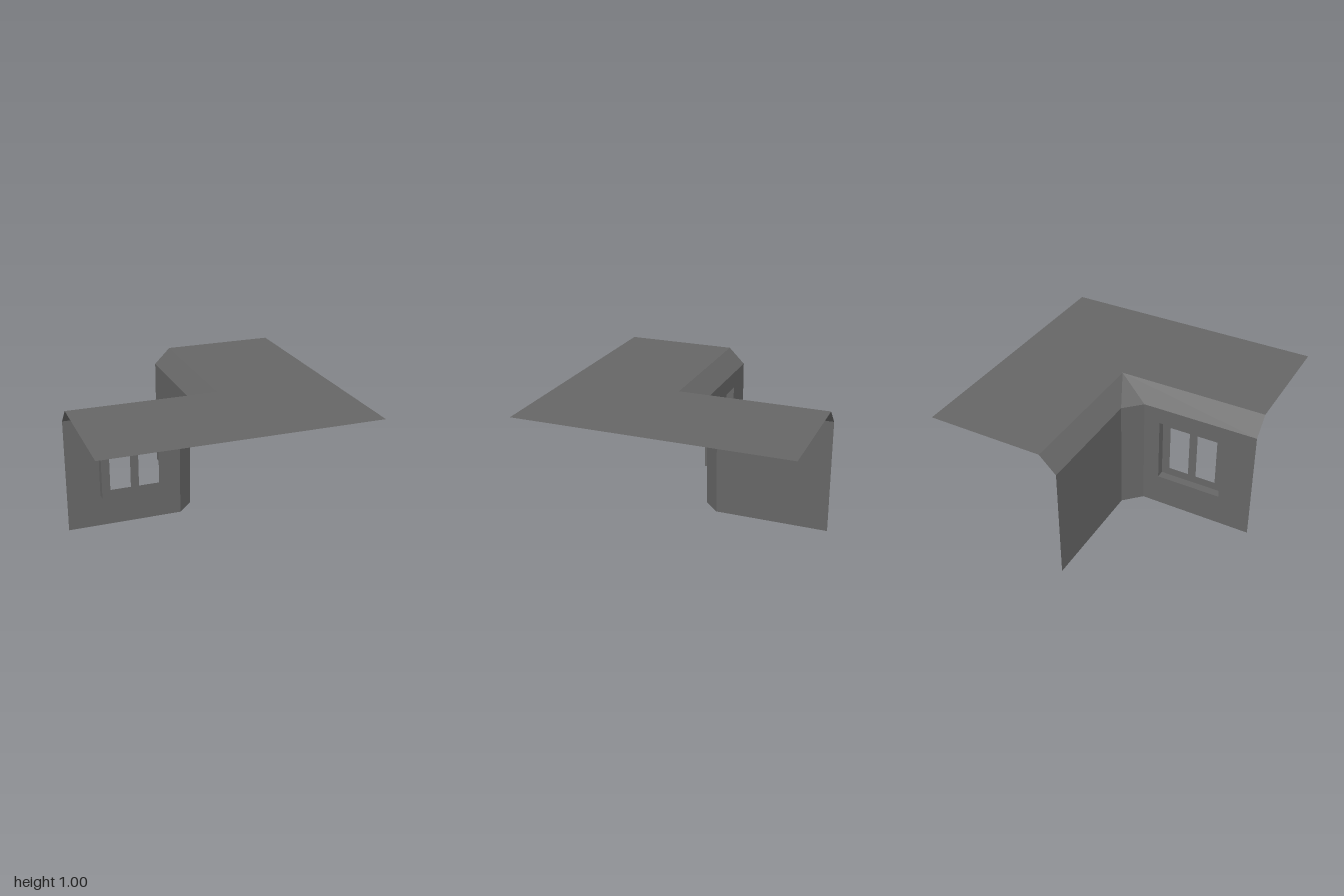
import * as THREE from 'three';

const H = 0.875, C = 0.125, D = 0.0625; // wall height, chamfer / eave reach, window depth

const rect = (P, x0, y0, x1, y1) =>
  new P([[x0, y0], [x1, y0], [x1, y1], [x0, y1]].map(([x, y]) => new THREE.Vector2(x, y)));

// Flat convex panel from its corners, counter-clockwise seen from outside
function panel(...corners) {
  const g = new THREE.BufferGeometry();
  g.setAttribute('position', new THREE.Float32BufferAttribute(corners.flat(), 3));
  const index = [];
  for (let i = 1; i < corners.length - 1; i++) index.push(0, i, i + 1);
  g.setIndex(index);
  g.computeVertexNormals();
  return g;
}

export function createModel() {
  const group = new THREE.Group();
  const grey = new THREE.MeshStandardMaterial({ color: 0x666666, side: THREE.DoubleSide });
  grey.name = 'grey';
  const add = (name, geometry, parent = group) => {
    const mesh = new THREE.Mesh(geometry, grey);
    mesh.name = name;
    parent.add(mesh);
  };

  // Walls: window wall, chamfered corner, plain wall
  const wall = rect(THREE.Shape, -1, 0, -C, H);
  wall.holes.push(rect(THREE.Path, -0.75, 0.25, -0.25, 0.75));
  add('windowWall', new THREE.ShapeGeometry(wall));
  add('cornerWall', panel([-C, 0, 0], [0, 0, -C], [0, H, -C], [-C, H, 0]));
  add('sideWall', panel([0, 0, -C], [0, 0, -1], [0, H, -1], [0, H, -C]));

  // Eaves sloping outward up to the roof
  add('frontEave', panel([-1, H, 0], [-C, H, 0], [C, 1, C], [-1, 1, C]));
  add('cornerEave', panel([-C, H, 0], [0, H, -C], [C, 1, C]));
  add('sideEave', panel([0, H, -C], [0, H, -1], [C, 1, -1], [C, 1, C]));

  // L-shaped flat roof
  const roof = new THREE.Shape(
    [[-1, -1], [1, -1], [1, 1], [C, 1], [C, -C], [-1, -C]].map(([x, y]) => new THREE.Vector2(x, y)));
  add('roof', new THREE.ShapeGeometry(roof).rotateX(-Math.PI / 2).translate(0, 1, 0));

  // Projecting window bay, open at the back
  const bay = new THREE.Group();
  bay.name = 'window';
  bay.position.set(-0.5, 0.5, 0);
  group.add(bay);
  const face = rect(THREE.Shape, -0.25, -0.25, 0.25, 0.25);
  for (const x of [-0.1875, 0.03125])
    face.holes.push(rect(THREE.Path, x, -0.1875, x + 0.15625, 0.1875));
  add('windowFrame', new THREE.ShapeGeometry(face).translate(0, 0, D), bay);
  for (let i = 0; i < 4; i++)
    add('windowReveal', new THREE.PlaneGeometry(D, 0.5).rotateY(Math.PI / 2)
      .translate(0.25, 0, D / 2).rotateZ(i * Math.PI / 2), bay);

  return group;
}
